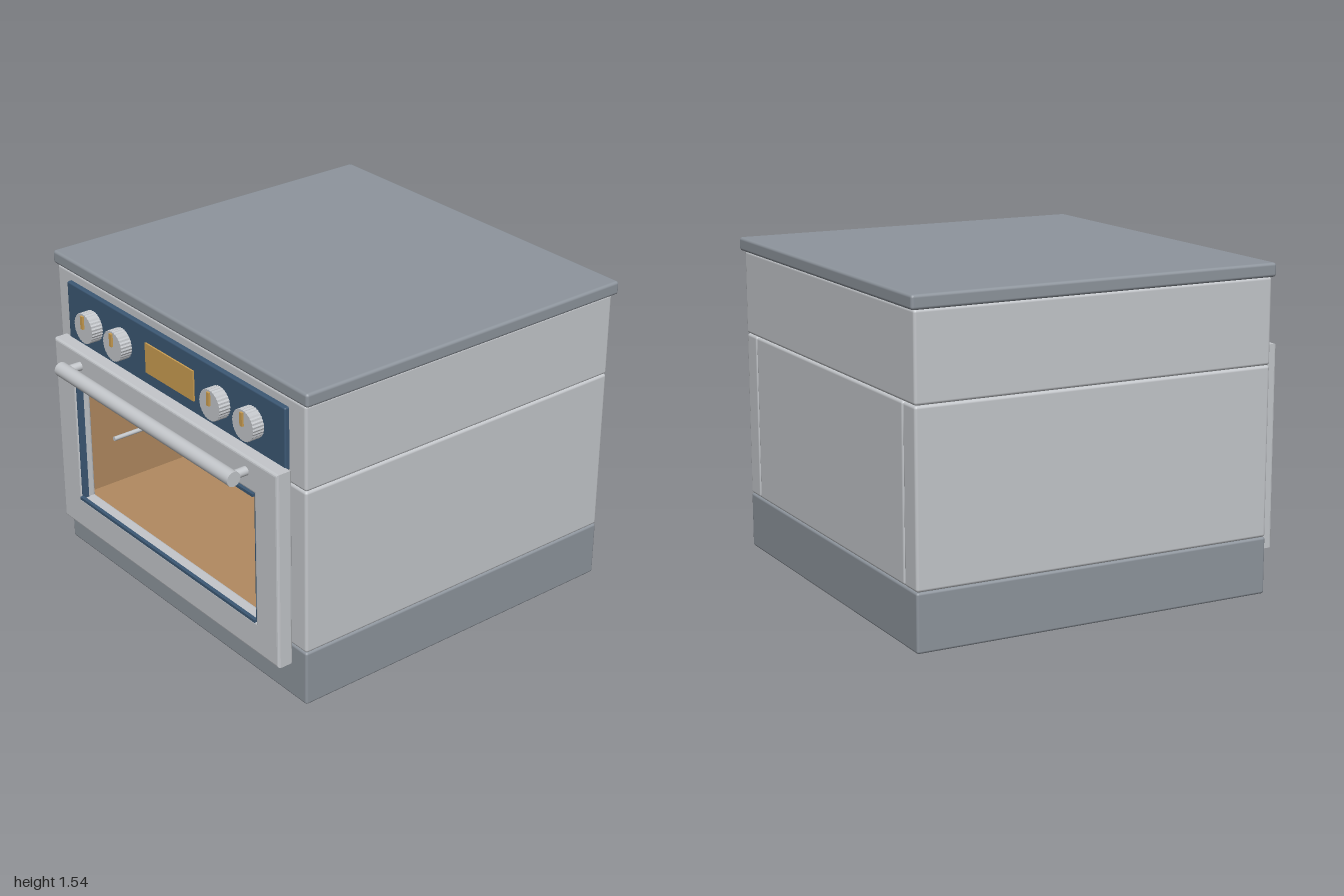
import * as THREE from 'three';
import { RoundedBoxGeometry } from 'three/addons/geometries/RoundedBoxGeometry.js';

const mat = (name, color) => {
  const m = new THREE.MeshStandardMaterial({ color });
  m.name = name;
  return m;
};

export function createModel() {
  const silver = mat('brushed silver', 0xc4c7cb);
  const grey = mat('slate grey', 0x8e959d);
  const blue = mat('navy blue', 0x3c5874);
  const gold = mat('amber', 0xcb9e52);
  const tan = mat('cavity tan', 0xb28a60);
  const copper = mat('heater copper', 0xd27f50);

  const model = new THREE.Group();
  model.name = 'oven';

  const add = (name, geometry, material, parent = model) => {
    const mesh = new THREE.Mesh(geometry, material);
    mesh.name = name;
    parent.add(mesh);
    return mesh;
  };
  // Box given by its limits on each axis, with rounded edges when r > 0
  const box = (name, [x0, x1], [y0, y1], [z0, z1], material, r = 0, parent = model) => {
    const size = [x1 - x0, y1 - y0, z1 - z0];
    const g = r ? new RoundedBoxGeometry(...size, 2, r) : new THREE.BoxGeometry(...size);
    g.translate((x0 + x1) / 2, (y0 + y1) / 2, (z0 + z1) / 2);
    return add(name, g, material, parent);
  };
  // Round bar along one axis, centred at a point
  const rod = (name, axis, r, length, [x, y, z], material, parent = model, sides = 24) => {
    const g = new THREE.CylinderGeometry(r, r, length, sides);
    if (axis === 'x') g.rotateZ(-Math.PI / 2);
    if (axis === 'z') g.rotateX(Math.PI / 2);
    g.translate(x, y, z);
    return add(name, g, material, parent);
  };

  // Cabinet
  const depth = [-0.98, 0.79];
  box('base', [-0.93, 0.93], [0.002, 0.272], depth, grey, 0.012);
  box('upperHousing', [-0.93, 0.93], [1.073, 1.475], depth, silver, 0.014);
  box('cooktop', [-0.95, 0.95], [1.475, 1.54], [-1, 0.8], grey, 0.014);
  box('leftWall', [0.81, 0.93], [0.272, 1.073], depth, silver, 0.014);
  box('rightWall', [-0.93, -0.81], [0.272, 1.073], depth, silver, 0.014);
  box('backPanel', [-0.81, 0.81], [0.272, 1.073], [-0.98, -0.9], silver, 0.014);
  for (const x of [-0.77, 0.77])
    for (const z of [-0.79, 0.6]) rod('foot', 'y', 0.055, 0.04, [x, 0.02, z], blue);

  // Cavity lining
  const cavity = new THREE.Group();
  cavity.name = 'cavity';
  model.add(cavity);
  const inner = [-0.9, 0.78];
  box('cavityFloor', [-0.81, 0.81], [0.265, 0.31], inner, tan, 0, cavity);
  box('cavityCeiling', [-0.81, 0.81], [1.04, 1.08], inner, tan, 0, cavity);
  box('cavityBack', [-0.81, 0.81], [0.3, 1.05], [-0.9, -0.86], tan, 0, cavity);
  for (const s of [-1, 1])
    box('cavitySide', [s * 0.8 - 0.015, s * 0.8 + 0.015], [0.3, 1.05], inner, tan, 0, cavity);

  // Heating elements and wire rack
  rod('upperHeater', 'x', 0.022, 1.58, [0, 0.967, -0.6], copper, cavity);
  rod('lowerHeater', 'x', 0.026, 1.58, [0, 0.394, -0.6], copper, cavity);
  const rack = new THREE.Group();
  rack.name = 'rack';
  cavity.add(rack);
  for (let i = 0; i < 5; i++)
    rod('rackBar', 'x', 0.011, 1.54, [0, 0.59, 0.45 - i * 0.3], silver, rack, 12);
  for (const s of [-1, 1]) rod('rackRail', 'z', 0.011, 1.45, [s * 0.72, 0.59, -0.065], silver, rack, 12);

  // Door frame with a bevelled window opening
  const door = new THREE.Group();
  door.name = 'door';
  model.add(door);
  const rect = (Type, w, y0, y1) => new Type([
    new THREE.Vector2(-w, y0), new THREE.Vector2(w, y0),
    new THREE.Vector2(w, y1), new THREE.Vector2(-w, y1),
  ]);
  const frame = rect(THREE.Shape, 0.85, 0.19, 1.15);
  frame.holes.push(rect(THREE.Path, 0.69, 0.35, 0.995));
  const bevel = 0.012;
  const frameGeometry = new THREE.ExtrudeGeometry(frame, {
    depth: 0.08 - 2 * bevel, bevelThickness: bevel, bevelSize: bevel,
    bevelOffset: -bevel, bevelSegments: 3,
  });
  frameGeometry.translate(0, 0, 0.8 + bevel);
  add('doorFrame', frameGeometry, silver, door);

  // Window trim
  for (const y of [0.357, 0.988])
    box('windowTrim', [-0.69, 0.69], [y - 0.007, y + 0.007], [0.87, 0.888], blue, 0, door);
  for (const s of [-1, 1])
    box('windowSideTrim', [s * 0.689 - 0.003, s * 0.689 + 0.003], [0.35, 0.995], [0.84, 0.875], blue, 0, door);

  // Handle
  rod('handleBar', 'x', 0.035, 1.33, [0, 1.083, 0.965], silver, door, 32);
  for (const s of [-1, 1]) rod('handlePost', 'z', 0.021, 0.1, [s * 0.635, 1.083, 0.915], silver, door);

  // Control panel with display
  box('controlPanel', [-0.82, 0.82], [1.135, 1.43], [0.78, 0.812], blue, 0.008);
  box('display', [-0.182, 0.182], [1.208, 1.355], [0.812, 0.82], gold);

  // Knurled knobs with pointers
  for (const x of [-0.605, -0.37, 0.37, 0.605]) {
    const knob = new THREE.Group();
    knob.name = 'knob';
    knob.position.set(x, 1.282, 0);
    model.add(knob);
    const outline = new THREE.Shape();
    for (let i = 0; i < 56; i++) {
      const a = (i / 56) * Math.PI * 2;
      const r = i % 2 ? 0.071 : 0.074;
      outline[i ? 'lineTo' : 'moveTo'](r * Math.cos(a), r * Math.sin(a));
    }
    const g = new THREE.ExtrudeGeometry(outline, { depth: 0.06, bevelEnabled: false });
    g.translate(0, 0, 0.81);
    add('knobBody', g, silver, knob);
    box('knobPointer', [-0.009, 0.009], [0, 0.064], [0.868, 0.88], gold, 0, knob);
  }

  return model;
}
